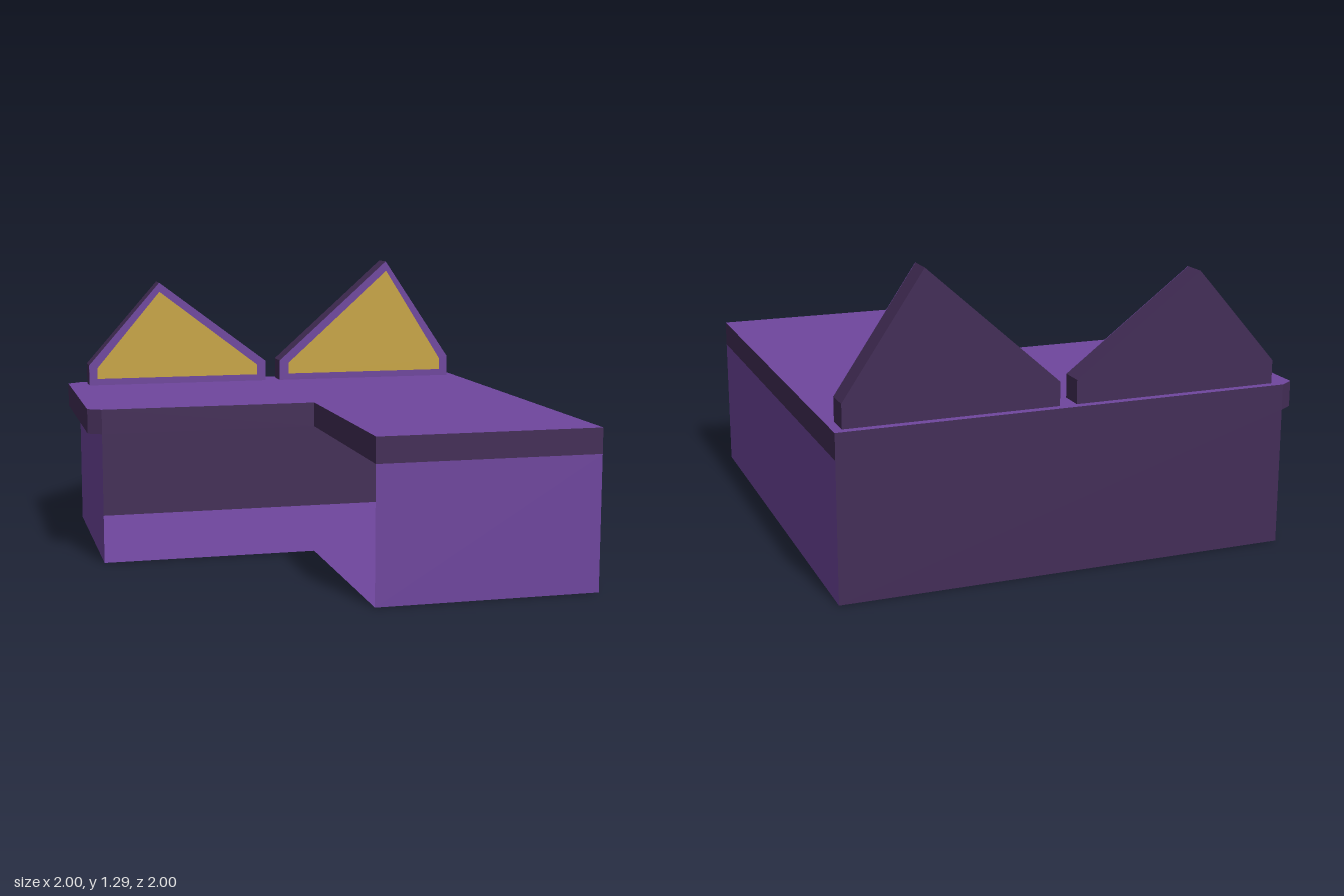
import * as THREE from 'three';

const material = (name, color) => {
  const m = new THREE.MeshStandardMaterial({ color, side: THREE.DoubleSide, flatShading: true });
  m.name = name;
  return m;
};

const outline = (points) => new THREE.Shape(points.map(([x, y]) => new THREE.Vector2(x, y)));

export function createModel() {
  const purple = material('purple', 0x6f469e);
  const dark = material('dark purple', 0x432d57);
  const gold = material('gold', 0xc9a645);

  const model = new THREE.Group();
  model.name = 'cornerCounter';

  const add = (name, geometry, mat, parent = model) => {
    const mesh = new THREE.Mesh(geometry, mat);
    mesh.name = name;
    parent.add(mesh);
    return mesh;
  };

  const bodyTop = 0.585, counterTop = 0.695;
  const endX = -0.94, innerX = 0.03;

  // L-shaped floor, drawn as (x, -z) and laid flat
  const floorShape = outline([[endX, 0], [innerX, 0], [innerX, -1], [1, -1], [1, 1], [endX, 1]]);
  add('floor', new THREE.ShapeGeometry(floorShape).rotateX(-Math.PI / 2), purple);

  // Thin outer panels; the inner corner stays open
  const panel = (name, width, x, z, turn, mat) => {
    const mesh = add(name, new THREE.PlaneGeometry(width, bodyTop), mat);
    mesh.position.set(x, bodyTop / 2, z);
    mesh.rotation.y = turn;
  };
  panel('backPanel', 1 - endX, (1 + endX) / 2, -1, Math.PI, dark);
  panel('frontPanel', 1 - innerX, (1 + innerX) / 2, 1, 0, purple);
  panel('longSidePanel', 2, 1, 0, Math.PI / 2, purple);
  panel('shortEndPanel', 1, endX, -0.5, -Math.PI / 2, purple);

  // Counter slab with clipped corners on the overhanging end and a dark rim
  const slabShape = outline([
    [-1, 0.035], [endX, 0], [innerX, 0], [innerX, -1], [1, -1], [1, 1], [endX, 1], [-1, 0.96],
  ]);
  const slab = new THREE.ExtrudeGeometry(slabShape, { depth: counterTop - bodyTop, bevelEnabled: false });
  add('counterTop', slab.rotateX(-Math.PI / 2).translate(0, bodyTop, 0), [purple, dark]);

  // Pointed ears: dark block, purple face and gold inset
  const ears = [
    {
      name: 'shortEar', front: -0.86,
      outer: [[-0.905, counterTop], [-0.01, counterTop], [-0.01, 0.795], [-0.55, 1.2], [-0.905, 0.795]],
      inner: [[-0.865, 0.727], [-0.055, 0.727], [-0.055, 0.777], [-0.55, 1.155], [-0.865, 0.78]],
    },
    {
      name: 'tallEar', front: -0.854,
      outer: [[0.063, counterTop], [0.962, counterTop], [0.962, 0.795], [0.625, 1.293], [0.063, 0.795]],
      inner: [[0.108, 0.727], [0.92, 0.727], [0.92, 0.782], [0.627, 1.245], [0.108, 0.782]],
    },
  ];
  for (const { name, front, outer, inner } of ears) {
    const ear = new THREE.Group();
    ear.name = name;
    const depth = front + 0.965;
    const block = new THREE.ExtrudeGeometry(outline(outer), { depth, bevelEnabled: false });
    add('earBlock', block.translate(0, 0, -0.965), dark, ear);
    add('earFace', new THREE.ShapeGeometry(outline(outer)).translate(0, 0, front + 0.003), purple, ear);
    add('earInset', new THREE.ShapeGeometry(outline(inner)).translate(0, 0, front + 0.006), gold, ear);
    model.add(ear);
  }

  return model;
}
